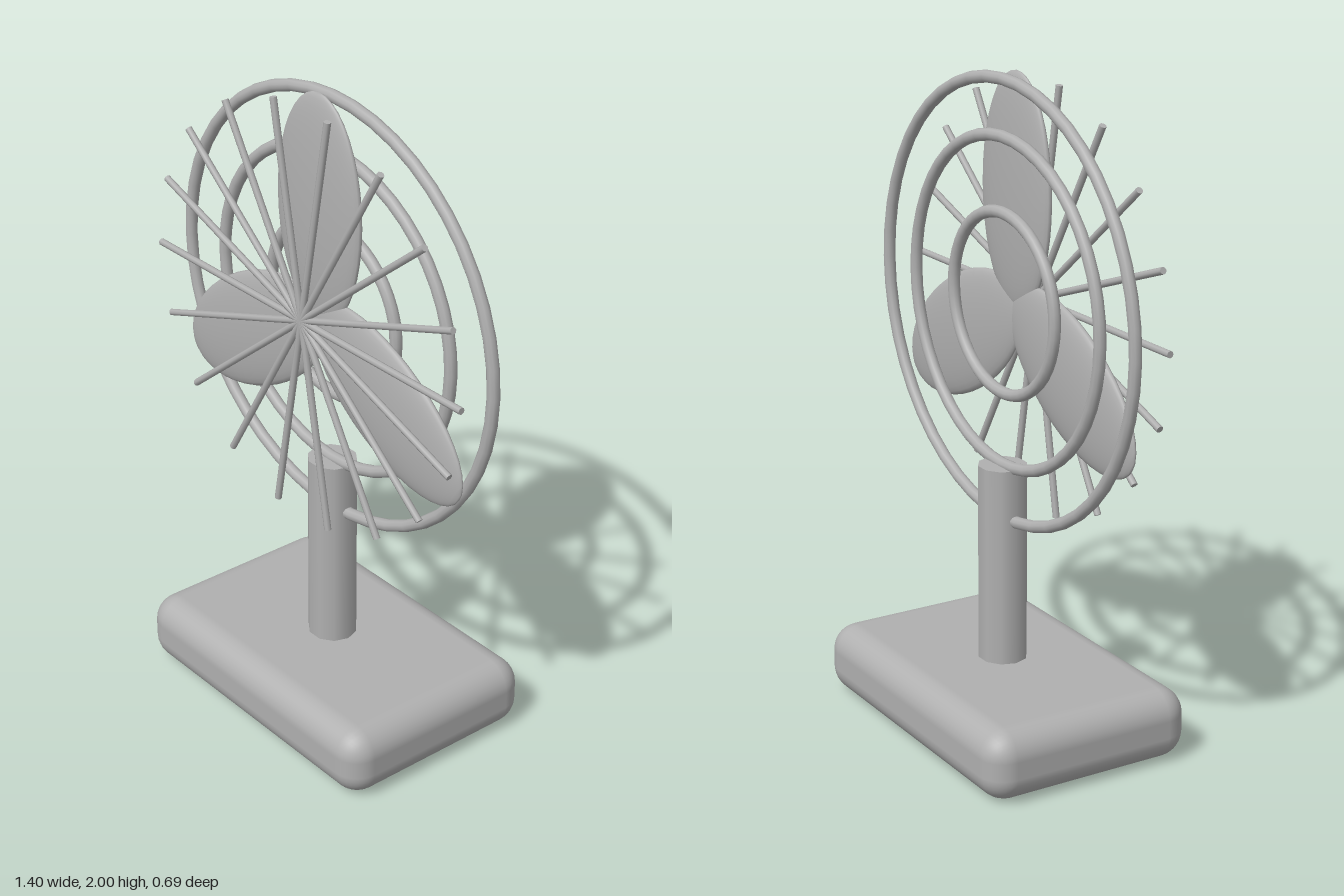
import * as THREE from 'three';
import { RoundedBoxGeometry } from 'three/addons/geometries/RoundedBoxGeometry.js';

const grey = new THREE.MeshStandardMaterial({ color: 0xb0b0b0 });
grey.name = 'grey';

function part(name, geometry, parent, x = 0, y = 0, z = 0) {
  const mesh = new THREE.Mesh(geometry, grey);
  mesh.name = name;
  mesh.position.set(x, y, z);
  parent.add(mesh);
  return mesh;
}

export function createModel() {
  const fan = new THREE.Group();
  fan.name = 'deskFan';

  // Heavy rounded foot and upright column
  part('base', new RoundedBoxGeometry(1.03, 0.218, 0.685, 4, 0.082), fan, 0, 0.109, 0);
  const column = part('column',
    new THREE.CylinderGeometry(0.0745, 0.0745, 0.65, 10, 1, false, Math.PI / 2), fan, 0, 0.505, 0);
  column.scale.x = 1.04;

  // Fan head, slightly wider than tall
  const head = new THREE.Group();
  head.name = 'head';
  head.position.y = 1.322;
  head.scale.x = 1.04;
  fan.add(head);

  // Rear guard: three concentric rings
  for (const radius of [0.656, 0.491, 0.27]) {
    part('guardRing', new THREE.TorusGeometry(radius, 0.0185, 10, 48), head);
  }

  // Three flattened oval blades reaching just past the centre
  const bladeGeometry = new THREE.SphereGeometry(1, 32, 20);
  bladeGeometry.scale(0.176, 0.35, 0.033);
  bladeGeometry.translate(0, 0.327, 0);
  for (let i = 0; i < 3; i++) {
    part('blade', bladeGeometry, head, 0, 0, 0.047).rotation.z = i * Math.PI * 2 / 3;
  }

  // Front guard: thin radial spokes
  const spokeGeometry = new THREE.CylinderGeometry(0.0105, 0.0105, 0.655, 8);
  spokeGeometry.translate(0, 0.3275, 0);
  for (let i = 0; i < 18; i++) {
    part('guardSpoke', spokeGeometry, head, 0, 0, 0.114).rotation.z = Math.PI / 2 + i * Math.PI / 9;
  }

  return fan;
}
